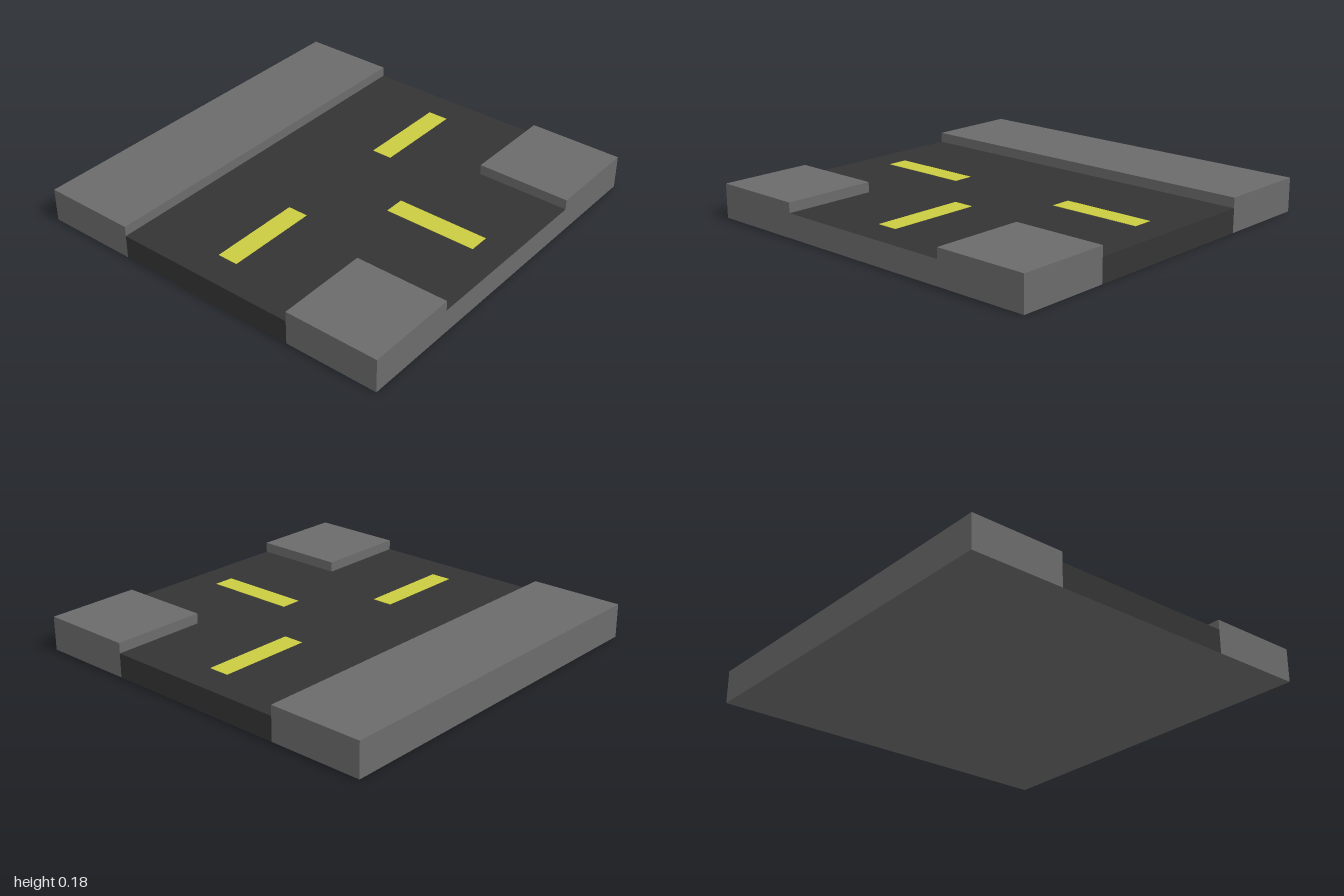
import * as THREE from 'three';

export function createModel() {
  const model = new THREE.Group();
  model.name = 'roadJunctionTile';

  const paint = (name, color) => {
    const m = new THREE.MeshStandardMaterial({ color });
    m.name = name;
    return m;
  };
  const concrete = paint('concreteGrey', 0x6b6b6b);
  const asphalt = paint('asphaltDark', 0x343434);
  const yellow = paint('markingYellow', 0xcbcb42);

  const CURB = 0.178, ROAD = 0.125;

  // Box standing on height y, centred on (x, z)
  function block(name, material, w, h, d, x, y, z) {
    const mesh = new THREE.Mesh(new THREE.BoxGeometry(w, h, d), material);
    mesh.name = name;
    mesh.position.set(x, y + h / 2, z);
    model.add(mesh);
  }

  // Through road: asphalt top and open ends, concrete underside
  // (box face order: +x, -x, +y, -y, +z, -z)
  block('throughRoad', [asphalt, asphalt, asphalt, concrete, concrete, concrete], 2, ROAD, 1, 0, 0, 0);

  // Side road towards the front: asphalt top over a concrete edge
  block('sideRoad', [concrete, concrete, asphalt, concrete, concrete, concrete], 1, ROAD, 0.5, 0, 0, 0.75);

  // Raised pavements
  block('backPavement', concrete, 2, CURB, 0.5, 0, 0, -0.75);
  for (const side of [-1, 1]) {
    const label = side > 0 ? 'left' : 'right';
    block(label + 'CornerPavement', concrete, 0.5, CURB, 0.5, side * 0.75, 0, 0.75);
    block(label + 'LaneMarking', yellow, 0.5, 0.002, 0.11, side * 0.583, ROAD, 0);
  }
  block('frontLaneMarking', yellow, 0.11, 0.002, 0.5, 0, ROAD, 0.583);

  return model;
}
